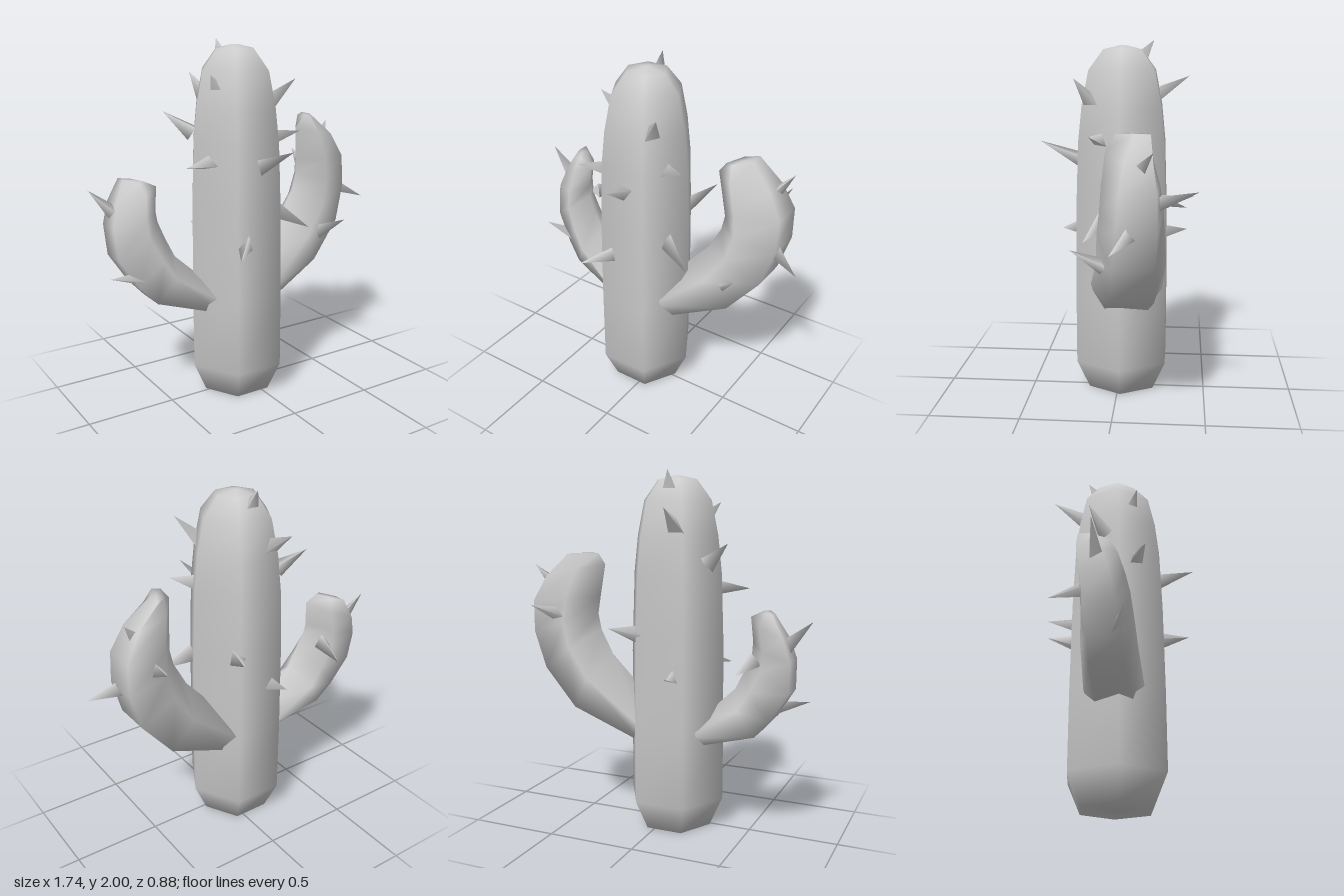
import * as THREE from 'three';

const material = new THREE.MeshStandardMaterial({ color: 0xcccccc });

// Smooth closed skin over a list of rings, each an array of [x, y, z]
function loft(name, rings) {
  const n = rings[0].length;
  const pos = rings.flat(2);
  const index = [];
  for (let i = 0; i < rings.length - 1; i++) {
    for (let j = 0; j < n; j++) {
      const k = (j + 1) % n;
      const a = i * n + j, b = i * n + k, c = a + n, d = b + n;
      index.push(a, b, d, a, d, c);
    }
  }
  // End caps, fanned from the ring centres
  const addCentre = (ring) => {
    for (let c = 0; c < 3; c++) pos.push(ring.reduce((s, p) => s + p[c], 0) / n);
    return pos.length / 3 - 1;
  };
  const last = (rings.length - 1) * n;
  const bottom = addCentre(rings[0]);
  const top = addCentre(rings[rings.length - 1]);
  for (let j = 0; j < n; j++) {
    const k = (j + 1) % n;
    index.push(bottom, k, j, top, last + j, last + k);
  }
  const geo = new THREE.BufferGeometry();
  geo.setAttribute('position', new THREE.Float32BufferAttribute(pos, 3));
  geo.setIndex(index);
  geo.computeVertexNormals();
  const mesh = new THREE.Mesh(geo, material);
  mesh.name = name;
  return mesh;
}

// Six-sided trunk from [radius, y] steps, slightly deeper than a regular hexagon
function makeTrunk() {
  const profile = [
    [0.205, 0], [0.281, 0.17], [0.281, 0.6], [0.275, 1.1],
    [0.262, 1.45], [0.24, 1.65], [0.2, 1.84], [0.115, 1.95], [0.02, 1.972],
  ];
  const rings = profile.map(([r, y]) => Array.from({ length: 6 }, (_, j) => {
    const a = (j / 6) * Math.PI * 2;
    return [-0.06 + r * Math.cos(a), y, -0.018 - 1.045 * r * Math.sin(a)];
  }));
  return loft('trunk', rings);
}

// Five-sided arm; each section is inner x, y, outer x, y, centre z, half depth.
// The outer side twists gradually backwards towards the tip.
function makeArm(name, side, sections) {
  const rings = sections.map(([xi, yi, xo, yo, zc, hz], i) => {
    const twist = (0.12 * i) / (sections.length - 1);
    return Array.from({ length: 5 }, (_, j) => {
      const a = Math.PI + (j / 5) * Math.PI * 2;
      const t = (Math.cos(a) + 1) / 1.809;
      return [
        side * THREE.MathUtils.lerp(xi, xo, t),
        THREE.MathUtils.lerp(yi, yo, t),
        zc - side * (Math.sin(a) / 0.951) * hz - twist * (t - 0.38),
      ];
    });
  });
  return loft(name, rings);
}

// Three-sided spine from a base point to a tip, its root sunk into the skin
function makeSpine([bx, by, bz, tx, ty, tz], radius) {
  const sink = 0.02;
  const base = new THREE.Vector3(bx, by, bz);
  const dir = new THREE.Vector3(tx, ty, tz).sub(base);
  const length = dir.length() + sink;
  const geo = new THREE.ConeGeometry(radius, length, 3);
  geo.translate(0, length / 2 - sink, 0);
  const mesh = new THREE.Mesh(geo, material);
  mesh.name = 'spine';
  mesh.position.copy(base);
  mesh.quaternion.setFromUnitVectors(new THREE.Vector3(0, 1, 0), dir.normalize());
  return mesh;
}

function makeSpines(name, list, radius) {
  const group = new THREE.Group();
  group.name = name;
  list.forEach((s) => group.add(makeSpine(s, radius)));
  return group;
}

export function createModel() {
  const model = new THREE.Group();
  model.name = 'cactus';
  model.add(makeTrunk());

  // Tall arm
  model.add(makeArm('leftArm', 1, [
    [0.05, 0.68, 0.1, 0.495, -0.045, 0.205],
    [0.31, 0.97, 0.49, 0.67, -0.095, 0.185],
    [0.385, 1.11, 0.67, 0.89, -0.1, 0.175],
    [0.405, 1.2, 0.735, 1.1, -0.105, 0.162],
    [0.395, 1.3, 0.735, 1.28, -0.1, 0.148],
    [0.375, 1.48, 0.66, 1.42, -0.085, 0.115],
    [0.42, 1.54, 0.53, 1.545, -0.085, 0.065],
  ]));

  // Short arm
  model.add(makeArm('rightArm', -1, [
    [0.18, 0.6, 0.22, 0.495, -0.03, 0.165],
    [0.425, 0.83, 0.57, 0.6, -0.075, 0.145],
    [0.48, 0.94, 0.66, 0.7, -0.085, 0.135],
    [0.52, 1.04, 0.76, 0.86, -0.1, 0.125],
    [0.527, 1.1, 0.77, 1.03, -0.115, 0.115],
    [0.515, 1.235, 0.735, 1.15, -0.13, 0.095],
    [0.59, 1.272, 0.67, 1.27, -0.135, 0.055],
  ]));

  // Spines as base then tip
  model.add(makeSpines('trunkSpines', [
    [-0.07, 1.9, -0.13, -0.075, 2.0, -0.19],
    [-0.2, 1.73, 0.05, -0.275, 1.83, 0.09],
    [0.07, 1.67, 0.14, 0.165, 1.8, 0.23],
    [-0.14, 1.69, -0.21, -0.14, 1.805, -0.39],
    [-0.29, 1.52, -0.11, -0.415, 1.62, -0.19],
    [0.13, 1.46, 0.08, 0.265, 1.5, 0.14],
    [-0.25, 1.36, 0.07, -0.44, 1.36, 0.12],
    [-0.04, 1.34, 0.2, 0.01, 1.45, 0.44],
    [0.08, 1.12, -0.23, 0.165, 1.175, -0.42],
    [0.16, 1.03, 0.09, 0.32, 0.94, 0.17],
    [-0.13, 0.93, 0.21, -0.26, 0.89, 0.36],
    [-0.13, 0.9, -0.25, -0.15, 0.92, -0.39],
  ], 0.056));
  model.add(makeSpines('leftArmSpines', [
    [0.64, 1.37, -0.15, 0.73, 1.48, -0.22],
    [0.57, 1.2, -0.23, 0.63, 1.28, -0.44],
    [0.71, 1.08, -0.1, 0.87, 1.015, -0.02],
    [0.5, 0.87, 0.05, 0.55, 0.96, 0.21],
  ], 0.05));
  model.add(makeSpines('rightArmSpines', [
    [-0.73, 1.1, -0.16, -0.87, 1.24, -0.18],
    [-0.56, 1.01, -0.21, -0.525, 0.97, -0.39],
    [-0.63, 0.74, -0.05, -0.83, 0.785, -0.02],
  ], 0.05));
  return model;
}
